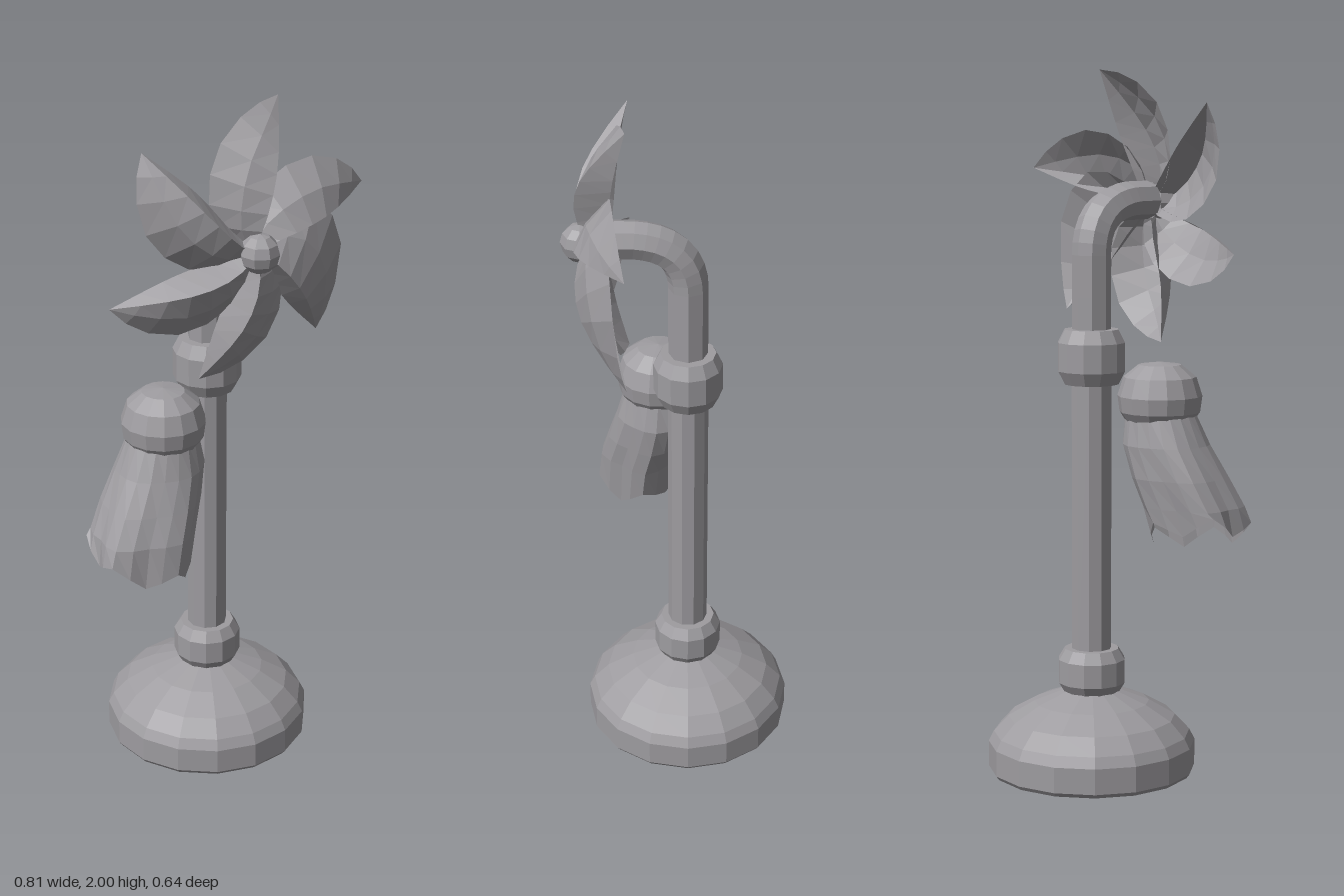
import * as THREE from 'three';

const grey = new THREE.MeshStandardMaterial({ color: 0x9e9ca0, flatShading: true, side: THREE.DoubleSide });
grey.name = 'warm grey';

const V = (x, y, z) => new THREE.Vector3(x, y, z);
const AX = 0.02, AZ = -0.024; // post axis

function add(parent, name, geometry, x = 0, y = 0, z = 0) {
  const mesh = new THREE.Mesh(geometry, grey);
  mesh.name = name;
  mesh.position.set(x, y, z);
  parent.add(mesh);
  return mesh;
}

const lathe = (points, sides) =>
  new THREE.LatheGeometry(points.map(([r, y]) => new THREE.Vector2(r, y)), sides);

// Surface through a grid of points, rows of equal length
function gridSurface(rows) {
  const n = rows[0].length, index = [];
  for (let i = 0; i < rows.length - 1; i++) {
    for (let j = 0; j < n - 1; j++) {
      const a = i * n + j, b = a + 1, c = a + n, d = c + 1;
      index.push(a, b, c, b, d, c);
    }
  }
  const g = new THREE.BufferGeometry().setFromPoints(rows.flat());
  g.setIndex(index);
  g.computeVertexNormals();
  return g;
}

// Blade: broad face rising from the leading edge to a ridge, narrow face folding back
function bladeGeometry(width) {
  const tip = V(0.122, 0.382, 0.14);
  const lead = new THREE.CatmullRomCurve3([
    V(0, 0, 0.21), V(-0.075 * width, 0.05, 0.195), V(-0.11 * width, 0.145, 0.185),
    V(-0.077 * width, 0.275, 0.175), V(0.025, 0.362, 0.158), tip]);
  const ridge = new THREE.CatmullRomCurve3([
    V(0, 0, 0.25), V(0, 0.048, 0.268), V(0.018, 0.122, 0.28),
    V(0.047, 0.2, 0.265), V(0.08, 0.28, 0.22), tip]);
  const trail = new THREE.CatmullRomCurve3([
    V(0, 0, 0.21), V(0.02, 0.04, 0.205), V(0.045, 0.11, 0.19),
    V(0.075, 0.185, 0.18), V(0.095, 0.25, 0.17), tip]);
  const rows = [];
  for (let i = 0; i <= 8; i++) {
    const t = i / 8, a = lead.getPoint(t), r = ridge.getPoint(t), b = trail.getPoint(t);
    const mid = a.clone().lerp(r, 0.5);
    mid.z += 0.015 * Math.sin(Math.PI * t);
    rows.push([b, r, mid, a]);
  }
  return gridSurface(rows);
}

// Fluted skirt that sweeps sideways and ends in a ragged, slanting hem
function skirtGeometry() {
  // centre x, y, centre z, radius x, radius z, flute depth
  const rings = [
    [-0.165, 1.05, 0.06, 0.1, 0.095, 0],
    [-0.178, 0.96, 0.066, 0.13, 0.115, 0.03],
    [-0.212, 0.87, 0.082, 0.146, 0.126, 0.06],
    [-0.244, 0.79, 0.1, 0.154, 0.13, 0.08],
    [-0.262, 0.71, 0.108, 0.15, 0.13, 0.1]];
  const sides = 20;
  const rows = rings.map(([cx, y, cz, rx, rz, f], k) => {
    const row = [];
    for (let j = 0; j <= sides; j++) {
      const a = j / sides * Math.PI * 2, wave = Math.cos(a * 5);
      const s = 1 + f * (wave - 0.4);
      const hem = k === 4 ? wave * 0.025 - Math.cos(a) * 0.03 - Math.sin(a) * 0.025 : 0;
      row.push(V(cx + rx * s * Math.cos(a), y + hem, cz + rz * s * Math.sin(a)));
    }
    return row;
  });
  return gridSurface(rows);
}

export function createModel() {
  const model = new THREE.Group();
  model.name = 'pinwheelStand';

  // Domed foot
  add(model, 'base', lathe([
    [0, 0], [0.288, 0], [0.297, 0.012], [0.297, 0.085], [0.282, 0.115],
    [0.24, 0.16], [0.165, 0.203], [0.08, 0.235], [0, 0.24]], 16), AX, 0, AZ);

  // Post and its two collars
  add(model, 'post', new THREE.CylinderGeometry(0.057, 0.057, 0.9, 10), AX, 0.71, AZ);
  const collar = (name, y, h) => add(model, name, lathe([
    [0.05, 0], [0.078, 0], [0.097, h * 0.24], [0.097, h * 0.76], [0.078, h], [0.05, h]], 12), AX, y, AZ);
  collar('lowerCollar', 0.228, 0.13);
  collar('upperCollar', 1.12, 0.155);

  // Bent arm carrying the wheel
  const arm = new THREE.CurvePath();
  const bend = 0.15, top = 1.63;
  arm.add(new THREE.LineCurve3(V(AX, 1.22, AZ), V(AX, top - bend, AZ)));
  arm.add(new THREE.QuadraticBezierCurve3(
    V(AX, top - bend, AZ), V(AX, top - 0.01, AZ), V(AX, top, AZ + bend)));
  arm.add(new THREE.LineCurve3(V(AX, top, AZ + bend), V(AX, top, 0.21)));
  add(model, 'arm', new THREE.TubeGeometry(arm, 20, 0.055, 8, false));
  const armEnd = add(model, 'armEnd', new THREE.CircleGeometry(0.055, 8), AX, top, 0.21);
  armEnd.rotation.z = Math.PI / 8;

  // Six slightly uneven blades: turn in degrees, width
  const wheel = new THREE.Group();
  wheel.name = 'pinwheel';
  wheel.position.set(AX, 1.618, 0);
  const blades = [[0, 1], [62, 1.03], [126, 1], [181, 1.05], [237, 1.75], [302, 1]];
  for (const [turn, width] of blades) {
    add(wheel, 'blade', bladeGeometry(width)).rotation.z = THREE.MathUtils.degToRad(turn);
  }
  add(wheel, 'hub', new THREE.SphereGeometry(0.055, 8, 6), 0, 0.004, 0.265);
  model.add(wheel);

  // Hanging doll: flattened ball head over a skirt
  const doll = new THREE.Group();
  doll.name = 'hangingDoll';
  add(doll, 'head', lathe([
    [0, 1.01], [0.09, 1.015], [0.113, 1.05], [0.119, 1.095],
    [0.102, 1.148], [0.06, 1.182], [0, 1.19]], 14), -0.163, 0, 0.06);
  add(doll, 'skirt', skirtGeometry());
  model.add(doll);

  return model;
}
